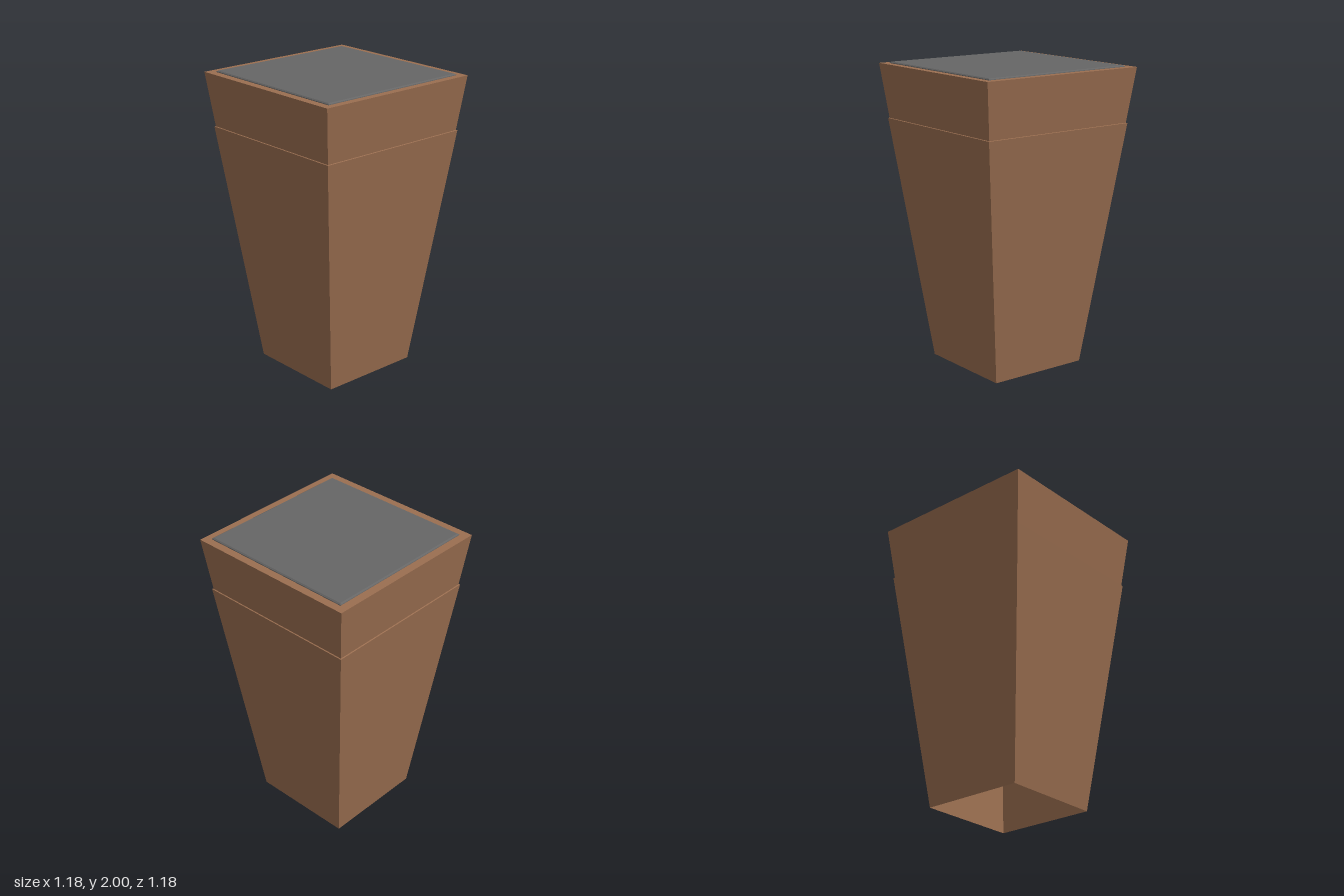
import * as THREE from 'three';

// Square-section shell from a profile of [half width, height], corners on the diagonals
function squareShell(name, profile, color) {
  const points = profile.map(([half, y]) => new THREE.Vector2(half * Math.SQRT2, y));
  const geometry = new THREE.LatheGeometry(points, 4, Math.PI / 4).toNonIndexed();
  geometry.computeVertexNormals();
  const material = new THREE.MeshStandardMaterial({ color, flatShading: true, side: THREE.DoubleSide });
  const mesh = new THREE.Mesh(geometry, material);
  mesh.name = name;
  return mesh;
}

export function createModel() {
  const group = new THREE.Group();
  group.name = 'squarePlanter';
  const brown = 0x9a6e50;

  // Tapered body, open underneath, ending in a small ledge
  group.add(squareShell('body', [[0.35, 0], [0.555, 1.628], [0.548, 1.63]], brown));

  // Flared collar with a flat rim
  group.add(squareShell('collar', [[0.548, 1.63], [0.592, 1.99], [0.535, 1.99]], brown));

  // Dark fill with a chamfered edge, standing just proud of the rim
  const fill = squareShell('fill', [[0.54, 1.988], [0.539, 1.994], [0.53, 2], [0, 2]], 0x666666);
  fill.position.z = 0.004;
  group.add(fill);

  return group;
}
